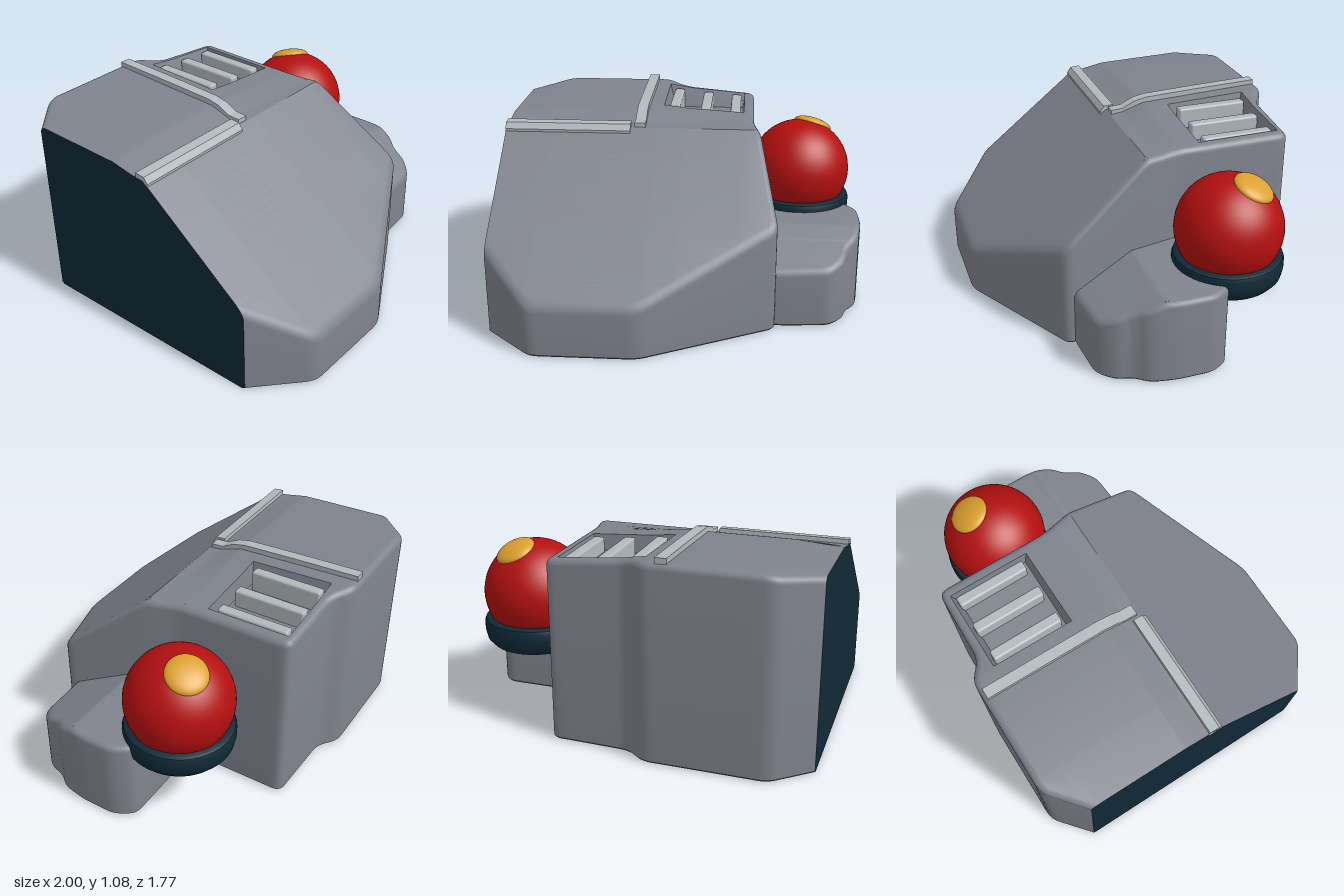
import * as THREE from 'three';
import { toCreasedNormals } from 'three/addons/utils/BufferGeometryUtils.js';
import { RoundedBoxGeometry } from 'three/addons/geometries/RoundedBoxGeometry.js';

const mat = (name, color) => Object.assign(new THREE.MeshStandardMaterial({ color }), { name });
const hull = mat('hull grey', 0x7f838d);
const steel = mat('pale steel', 0xb2b9be);
const navy = mat('dark navy', 0x0f2a38);
const red = mat('red', 0xb41010);
const gold = mat('gold', 0xdca02e);

const lerp = THREE.MathUtils.lerp;
// Piecewise linear lookup through ascending [t, value] pairs
function ramp(t, pts) {
  if (t <= pts[0][0]) return pts[0][1];
  for (let i = 1; i < pts.length; i++) {
    const [a, va] = pts[i - 1], [b, vb] = pts[i];
    if (t <= b) return lerp(va, vb, (t - a) / (b - a));
  }
  return pts[pts.length - 1][1];
}

// Triangle collector
function soup() {
  const pos = [], A = new THREE.Vector3(), B = new THREE.Vector3(), C = new THREE.Vector3();
  const tri = (a, b, c) => {
    A.set(...a); B.set(...b).sub(A); C.set(...c).sub(A);
    if (B.cross(C).length() > 1e-9) pos.push(...a, ...b, ...c);
  };
  return {
    quad(a, b, c, d) { tri(a, b, c); tri(a, c, d); },
    geometry(crease = 0.55) {
      const g = new THREE.BufferGeometry();
      g.setAttribute('position', new THREE.Float32BufferAttribute(pos, 3));
      return toCreasedNormals(g, crease);
    },
  };
}

// Open outline with softened corners, sampled finely
function outline(pts, cut) {
  const path = new THREE.CurvePath(), v = pts.map(p => new THREE.Vector2(...p));
  let last = v[0];
  for (let i = 1; i < v.length - 1; i++) {
    const toward = q => v[i].clone().lerp(q, Math.min(0.45, cut / v[i].distanceTo(q)));
    const a = toward(v[i - 1]), b = toward(v[i + 1]);
    path.add(new THREE.LineCurve(last, a));
    path.add(new THREE.QuadraticBezierCurve(a, v[i], b));
    last = b;
  }
  path.add(new THREE.LineCurve(last, v[v.length - 1]));
  const out = [v[0]];
  for (const c of path.curves) {
    const n = c.isLineCurve ? Math.ceil(c.getLength() / 0.04) : 5;
    for (let k = 1; k <= n; k++) out.push(c.getPoint(k / n));
  }
  return out;
}

// Upright block over an outline, with a shaped top, rounded rim and optional rectangular opening
function block(pts, height, { cut, r, rows = [], columns = [], hole }) {
  const chain = outline(pts, cut), n = chain.length, x0 = pts[0][0], s = soup();
  const inward = chain.map((p, i) => {
    const d = chain[Math.min(i + 1, n - 1)].clone().sub(chain[Math.max(i - 1, 0)]).normalize();
    return i === 0 || i === n - 1 ? [0, 1 / d.x] : [-d.y, d.x];
  });
  const ring = (o, yOf) => chain.map((p, i) => {
    const x = p.x + inward[i][0] * o, z = p.y + inward[i][1] * o;
    return [x, yOf(x, z), z];
  });
  const rings = [ring(0.012, () => 0), ring(0, () => 0.012)];
  for (let k = 0; k <= 5; k++) {
    const t = k / 5 * Math.PI / 2;
    rings.push(ring(r * (1 - Math.cos(t)), (x, z) => height(x, z) - r * (1 - Math.sin(t))));
  }
  for (let k = 0; k + 1 < rings.length; k++)
    for (let i = 0; i + 1 < n; i++)
      s.quad(rings[k][i], rings[k + 1][i], rings[k + 1][i + 1], rings[k][i + 1]);

  // Top surface in rows across x
  const rim = rings[rings.length - 1];
  const span = z => {
    let lo = Infinity, hi = -Infinity;
    rim.forEach((p, i) => {
      const q = rim[(i + 1) % n];
      const hit = x => { lo = Math.min(lo, x); hi = Math.max(hi, x); };
      if (Math.abs(p[2] - z) < 1e-6) hit(p[0]);
      else if ((p[2] - z) * (q[2] - z) < 0) hit(lerp(p[0], q[0], (z - p[2]) / (q[2] - p[2])));
    });
    return [lo, hi];
  };
  const zs = [...rim.map(p => p[2]), ...rows].sort((a, b) => a - b).filter((z, i, a) => !i || z - a[i - 1] > 1e-5);
  const line = zs.map(z => {
    const [lo, hi] = span(z);
    return [lo, ...columns.map(x => Math.min(hi, Math.max(lo, x))), hi].map(x => [x, height(x, z), z]);
  });
  for (let j = 0; j + 1 < line.length; j++)
    for (let c = 0; c + 1 < line[j].length; c++) {
      const a = line[j][c], b = line[j + 1][c], d = line[j + 1][c + 1], e = line[j][c + 1];
      const mx = (a[0] + d[0]) / 2, mz = (a[2] + d[2]) / 2;
      if (hole && mx > hole.x0 && mx < hole.x1 && mz > hole.z0 && mz < hole.z1) continue;
      s.quad(a, b, d, e);
    }

  const base = new THREE.ShapeGeometry(new THREE.Shape(rings[0].map(p => new THREE.Vector2(p[0], p[2]))));
  base.rotateX(Math.PI / 2);
  // Flat end where the outline is open
  const end = [...rings.map(q => q[0]),
    ...line.map(l => l[0]).filter(p => p[2] > rim[0][2] + 1e-4 && p[2] < rim[n - 1][2] - 1e-4),
    ...rings.map(q => q[n - 1]).reverse()];
  const cap = new THREE.ShapeGeometry(new THREE.Shape(end.map(p => new THREE.Vector2(p[2], p[1]))));
  cap.rotateY(-Math.PI / 2).translate(x0, 0, 0);
  return { shell: s.geometry(), base, cap };
}

// Roof height: front slope, then a raised panel that falls away to the sides
const bodyHeight = (x, z) => z > 0.02 ? 0.975 - 0.805 * (z - 0.02)
  : 0.975 + ramp(z, [[-0.85, 0.078], [-0.18, 0.05], [-0.05, 0.008], [0.02, 0]])
    * ramp(x, [[-1, 0.6], [-0.75, 1], [-0.16, 1], [0, 0.65], [0.38, 0.2]]);
const podHeight = (x, z) => ramp(z, [[0.12, 0.47], [0.46, 0.315]]);

export function createModel() {
  const model = new THREE.Group();
  const add = (name, geometry, material, parent = model) => {
    const m = new THREE.Mesh(geometry, material);
    m.name = name;
    parent.add(m);
    return m;
  };

  // Main hull
  const vent = { x0: -0.14, x1: 0.325, z0: -0.76, z1: -0.3 };
  const body = block([[-1, -0.72], [-0.8, -0.89], [-0.15, -0.89], [-0.05, -0.81], [0.385, -0.80],
    [0.385, -0.16], [0.525, 0.5], [-0.18, 0.885], [-0.74, 0.885], [-1, 0.64]], bodyHeight,
  { cut: 0.05, r: 0.035, rows: [0.02, -0.05, -0.18, -0.85, vent.z0, vent.z1],
    columns: [-0.75, -0.16, vent.x0, 0, vent.x1], hole: vent });
  add('hull', body.shell, hull);
  add('hullBase', body.base, hull);
  add('hullOpenEnd', body.cap, navy);

  // Side pod
  const pod = block([[0.3, -0.24], [0.93, -0.24], [0.995, -0.14], [0.995, 0.06], [0.97, 0.2],
    [0.91, 0.27], [0.89, 0.36], [0.81, 0.44], [0.55, 0.46], [0.3, 0.46]], podHeight,
  { cut: 0.045, r: 0.03, rows: [0.12] });
  add('pod', pod.shell, hull);
  add('podBase', pod.base, hull);

  // Recessed vent with three slats
  const floorY = 0.91, inset = 0.035, s = soup();
  const rim = [[vent.x0, vent.z0], [0, vent.z0], [vent.x1, vent.z0], [vent.x1, vent.z1], [0, vent.z1], [vent.x0, vent.z1]];
  const top = rim.map(([x, z]) => [x, bodyHeight(x, z), z]);
  const low = rim.map(([x, z]) => [
    Math.min(vent.x1 - inset / 3, Math.max(vent.x0 + inset, x)), floorY,
    Math.min(vent.z1 - inset / 2, Math.max(vent.z0 + inset, z))]);
  rim.forEach((_, i) => {
    const j = (i + 1) % rim.length;
    s.quad(top[i], low[i], low[j], top[j]);
  });
  s.quad(low[0], low[5], low[3], low[2]);
  add('ventRecess', s.geometry(0.3), hull);
  for (const x of [-0.08, 0.1, 0.275]) {
    const y = bodyHeight(x, -0.54) - 0.005;
    add('ventSlat', new RoundedBoxGeometry(0.06, y - 0.9, 0.4, 2, 0.012), steel)
      .position.set(x, (y + 0.9) / 2, -0.54);
  }

  // Roof rails: a (z, y) section pulled along x
  const rail = (name, section, x0, x1) => {
    const g = new THREE.ExtrudeGeometry(new THREE.Shape(section.map(p => new THREE.Vector2(...p))),
      { depth: x1 - x0, bevelEnabled: false });
    add(name, g.rotateY(-Math.PI / 2).translate(x1, 0, 0), steel);
  };
  rail('crossRail', [[0.048, 0.93], [0.052, 0.965], [0.03, 0.998], [-0.025, 1.003], [-0.03, 0.95]], -1, -0.3);
  const crest = [[0.01, 1.0], [-0.06, 1.005], [-0.13, 1.04], [-0.2, 1.055], [-0.5, 1.068], [-0.87, 1.08]];
  rail('lengthRail', [...crest, ...crest.map(([z, y]) => [z, y - 0.05]).reverse()], -0.28, -0.22);

  // Ball lamp in its cup
  const lamp = new THREE.Group();
  lamp.name = 'ballLamp';
  lamp.position.set(0.66, 0.65, -0.34);
  model.add(lamp);
  const cup = [[0, -0.305], [0.2, -0.305], [0.255, -0.29], [0.285, -0.255], [0.295, -0.21], [0.295, -0.165],
    [0.288, -0.145], [0.27, -0.137], [0, -0.137]].map(p => new THREE.Vector2(...p));
  add('cup', toCreasedNormals(new THREE.LatheGeometry(cup, 48), 0.8), navy, lamp);
  add('ball', new THREE.SphereGeometry(0.288, 48, 32), red, lamp);
  const dir = new THREE.Vector3(0.27, 0.9, -0.34).normalize();
  const lens = add('lens', new THREE.SphereGeometry(0.112, 32, 16), gold, lamp);
  lens.scale.y = 0.36;
  lens.position.copy(dir).multiplyScalar(0.268);
  lens.quaternion.setFromUnitVectors(new THREE.Vector3(0, 1, 0), dir);

  return model;
}
